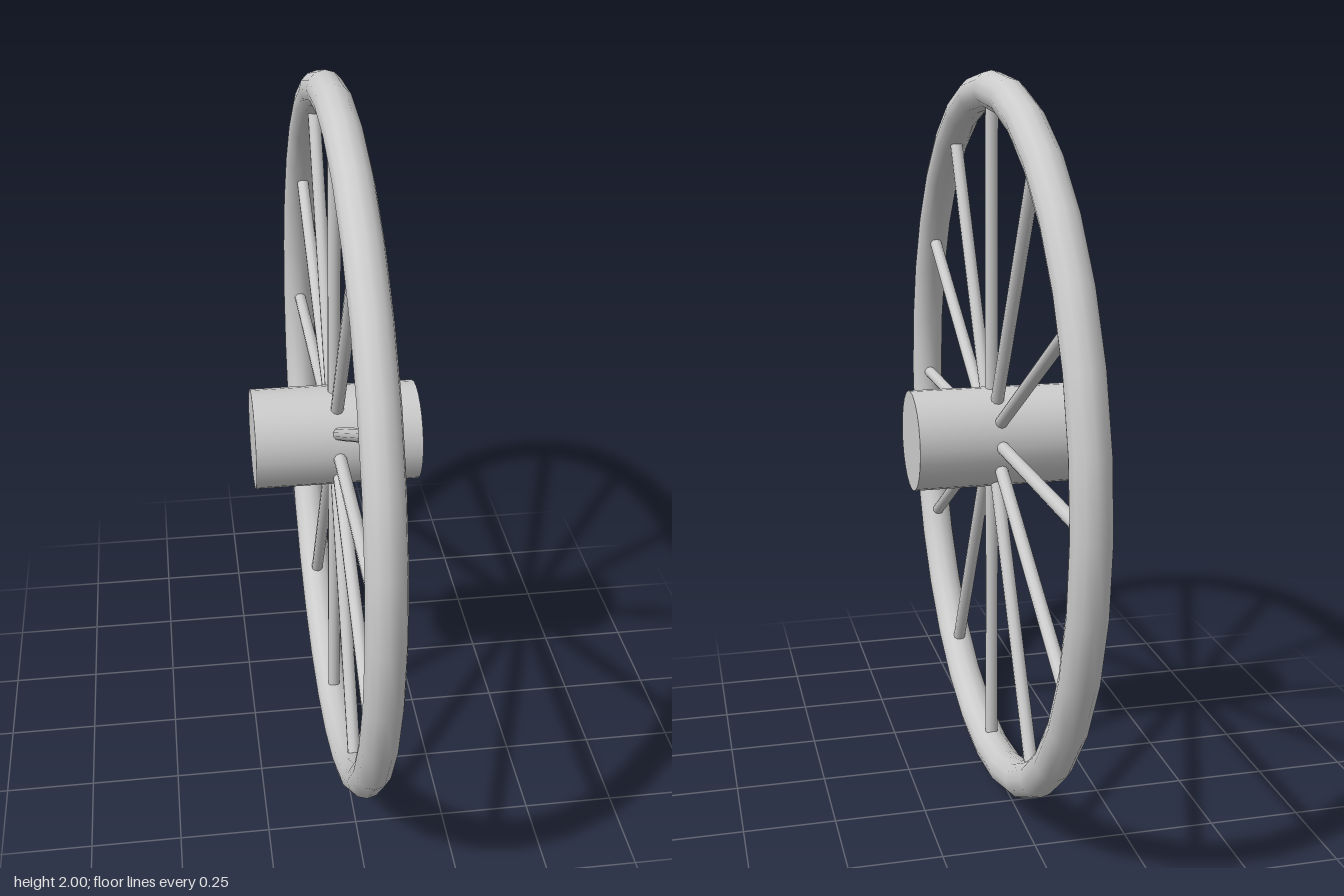
import * as THREE from 'three';

export function createModel() {
  const model = new THREE.Group();
  model.name = 'spokedWheel';
  const grey = new THREE.MeshStandardMaterial({ color: 0xcccccc });
  grey.name = 'plain grey';

  // The wheel turns about the x axis, with its centre one unit up
  const wheel = new THREE.Group();
  wheel.name = 'wheel';
  wheel.position.y = 1;
  model.add(wheel);

  function add(name, geometry) {
    const mesh = new THREE.Mesh(geometry, grey);
    mesh.name = name;
    wheel.add(mesh);
    return mesh;
  }

  // Round rim
  add('rim', new THREE.TorusGeometry(0.95, 0.05, 12, 32).rotateY(Math.PI / 2));

  // Solid hub, sticking out on both sides
  add('hub', new THREE.CylinderGeometry(0.14, 0.14, 0.46, 24).rotateZ(Math.PI / 2));

  // Twelve spokes, from inside the hub to the inner face of the rim
  const inner = 0.08, outer = 0.91, count = 12;
  const spoke = new THREE.CylinderGeometry(0.018, 0.018, outer - inner, 10)
    .translate(0, (inner + outer) / 2, 0);
  for (let i = 0; i < count; i++) {
    add('spoke' + (i + 1), spoke).rotation.x = (i / count) * Math.PI * 2;
  }
  return model;
}
